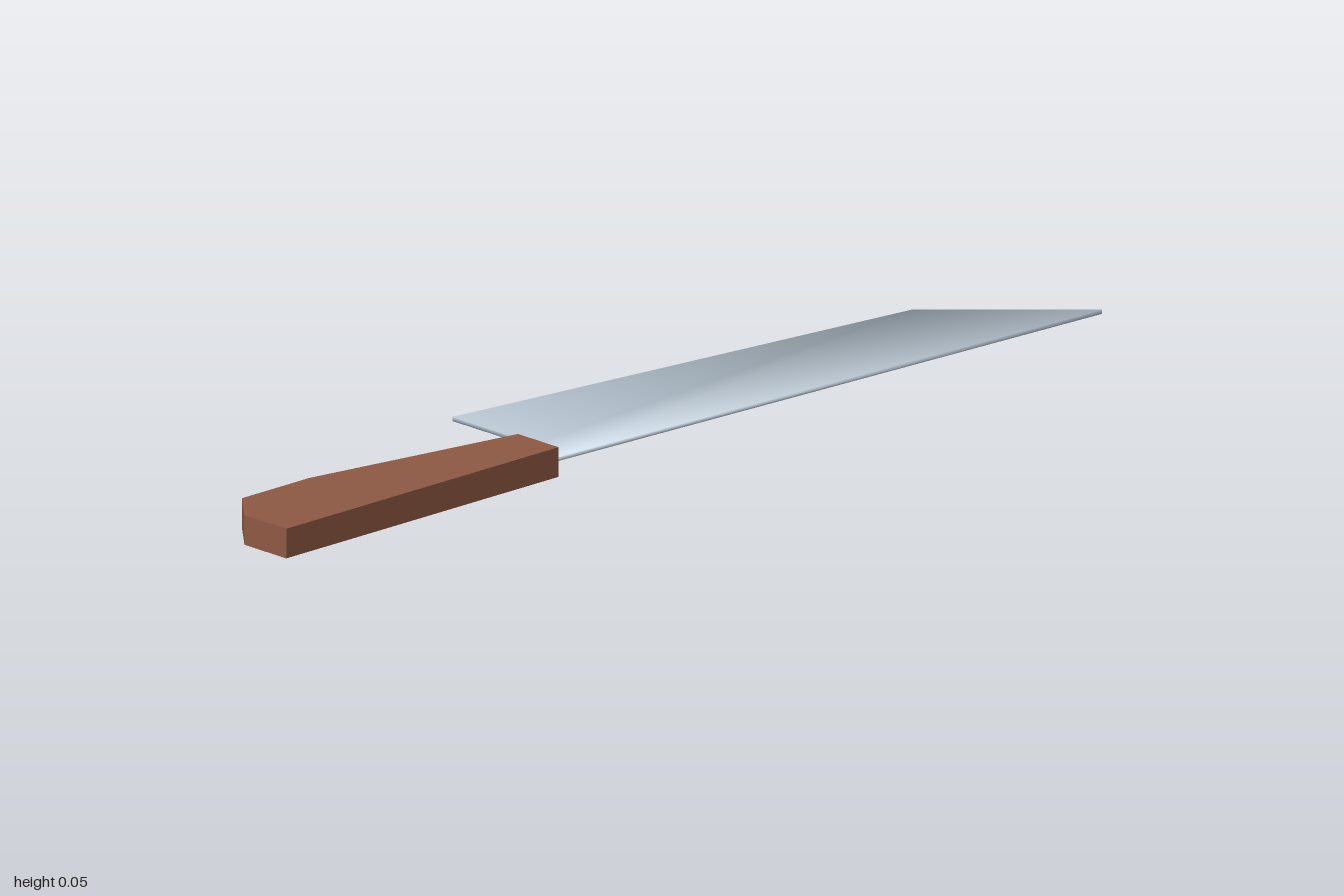
import * as THREE from 'three';

// Flat slab from an outline of [x, z] points, between two heights
function slab(points, bottom, top) {
  const shape = new THREE.Shape(points.map(([x, z]) => new THREE.Vector2(x, z)));
  const geometry = new THREE.ExtrudeGeometry(shape, { depth: top - bottom, bevelEnabled: false });
  return geometry.rotateX(Math.PI / 2).translate(0, top, 0);
}

// Soft shading: each corner averages the directions of the faces that meet there
function softenNormals(geometry) {
  const { position, normal } = geometry.attributes;
  const corners = new Map();
  const key = (i) => [position.getX(i), position.getY(i), position.getZ(i)].map((v) => v.toFixed(4)).join();
  for (let i = 0; i < position.count; i++) {
    const n = new THREE.Vector3().fromBufferAttribute(normal, i);
    const list = corners.get(key(i)) ?? [];
    if (!list.some((m) => m.dot(n) > 0.999)) list.push(n);
    corners.set(key(i), list);
  }
  for (let i = 0; i < position.count; i++) {
    const n = new THREE.Vector3();
    corners.get(key(i)).forEach((m) => n.add(m));
    n.normalize();
    normal.setXYZ(i, n.x, n.y, n.z);
  }
  return geometry;
}

function addPart(group, name, geometry, color) {
  const mesh = new THREE.Mesh(geometry, new THREE.MeshStandardMaterial({ color }));
  mesh.name = name;
  group.add(mesh);
}

export function createModel() {
  const knife = new THREE.Group();
  knife.name = 'knife';

  // Faceted wooden handle with a clipped butt
  const handle = [[-1, 0.175], [-1, 0.065], [-0.935, -0.013], [-0.765, -0.022], [-0.315, 0.033], [-0.315, 0.14]];
  addPart(knife, 'handle', slab(handle, 0, 0.055), 0x8f5a44);

  // Thin blade with a short neck, a square heel and an angled tip
  const blade = [[-0.315, 0.127], [-0.315, 0.043], [-0.282, 0.043], [-0.282, -0.175], [0.75, -0.1], [1, 0.127]];
  addPart(knife, 'blade', softenNormals(slab(blade, 0.024, 0.032)), 0xc4d3e0);

  return knife;
}
